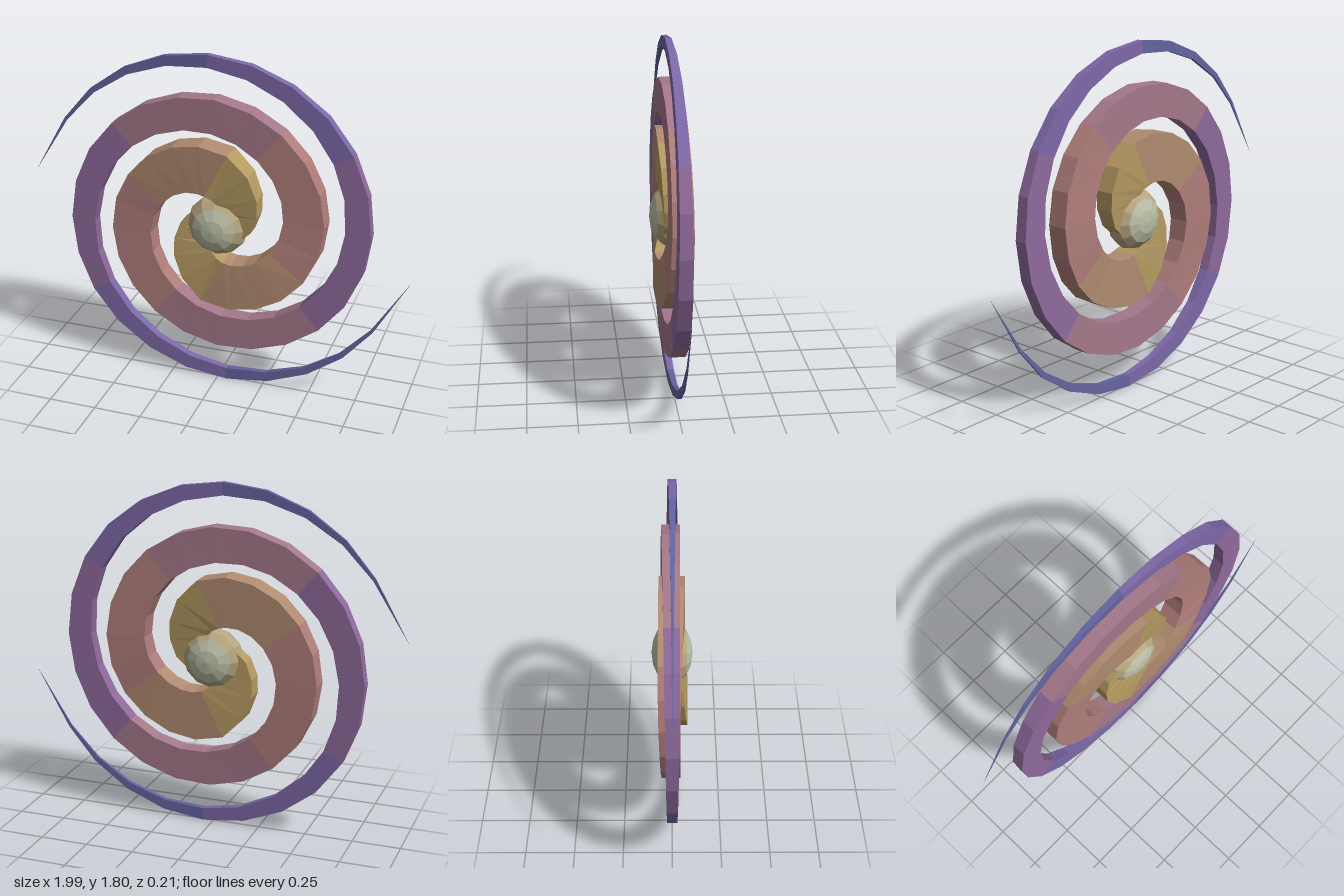
import * as THREE from 'three';

// Arm profile: [angle in degrees, centreline radius, half width]
const PROFILE = [
  [0, 0.08, 0.075], [45, 0.17, 0.1], [90, 0.295, 0.132], [180, 0.45, 0.107], [270, 0.59, 0.09],
  [360, 0.725, 0.066], [405, 0.8, 0.052], [450, 0.862, 0.034], [480, 0.903, 0.021], [510, 0.944, 0.008], [530, 1.01, 0.0005],
];
// Gentle wave of each arm out of the disc plane: [angle, z]
const WAVE_A = [[0, 0], [90, 0], [180, -0.015], [270, 0], [360, 0.002], [530, 0]];
const WAVE_B = [[0, 0], [90, 0.015], [140, 0.01], [180, -0.01], [270, -0.006], [360, 0], [530, 0]];
const COLORS = [0xb59a62, 0xb08b70, 0xb07e7c, 0xa4788a, 0x8f6a9c, 0x7d68a8, 0x6464a0];
const SEGMENTS = 32;

function sample(table, a, col) {
  let i = 0;
  while (i < table.length - 2 && a > table[i + 1][0]) i++;
  const [p, q] = [table[i], table[i + 1]];
  return THREE.MathUtils.lerp(p[col], q[col], (a - p[0]) / (q[0] - p[0]));
}

function centre(a, wave) {
  const r = sample(PROFILE, a, 1), t = THREE.MathUtils.degToRad(a);
  return new THREE.Vector3(r * Math.cos(t), r * Math.sin(t), sample(wave, a, 1));
}

// Rectangular cross-section: inner front, outer front, outer back, inner back
function crossSection(a, wave) {
  const c = centre(a, wave), h = sample(PROFILE, a, 2);
  const t = centre(a + 6, wave).sub(centre(a - 6, wave));
  const n = new THREE.Vector3(t.y, -t.x, 0).normalize();
  return [[-1, 1], [1, 1], [1, -1], [-1, -1]].map(([u, v]) =>
    new THREE.Vector3(c.x + n.x * h * u, c.y + n.y * h * u, c.z + h * 0.5 * v));
}

function flatMesh(points, color, name) {
  const geometry = new THREE.BufferGeometry().setFromPoints(points);
  geometry.computeVertexNormals();
  const mesh = new THREE.Mesh(geometry, new THREE.MeshStandardMaterial({ color, flatShading: true }));
  mesh.name = name;
  return mesh;
}

function spiralArm(name, wave) {
  const arm = new THREE.Group();
  arm.name = name;
  const rings = [];
  for (let i = 0; i <= SEGMENTS; i++) {
    const u = i / SEGMENTS;
    rings.push(crossSection(576 * u - 66 * u * u, wave));
  }
  rings.push(crossSection(530, wave));

  // One mesh per colour band along the arm
  const quad = (out, a, b, c, d) => out.push(a, b, c, a, c, d);
  const total = rings.length - 1;
  COLORS.forEach((color, band) => {
    const points = [];
    const from = Math.round(band * total / COLORS.length);
    const to = Math.round((band + 1) * total / COLORS.length);
    for (let i = from; i < to; i++) {
      for (let k = 0; k < 4; k++) {
        const m = (k + 1) % 4;
        quad(points, rings[i][k], rings[i][m], rings[i + 1][m], rings[i + 1][k]);
      }
    }
    if (band === 0) quad(points, rings[0][0], rings[0][3], rings[0][2], rings[0][1]);
    arm.add(flatMesh(points, color, `armBand${band + 1}`));
  });
  return arm;
}

// Flattened faceted bulge with paler poles facing front and back
function galaxyCore() {
  const core = new THREE.Group();
  core.name = 'core';
  const zones = [
    ['frontCap', 0, 2, 0xbcbfa6], ['middleBelt', 2, 4, 0xb5a680], ['backCap', 6, 2, 0xbcbfa6],
  ];
  for (const [name, start, rows, color] of zones) {
    const geometry = new THREE.SphereGeometry(0.16, 12, rows, 0, Math.PI * 2, start * Math.PI / 8, rows * Math.PI / 8);
    geometry.rotateX(Math.PI / 2).scale(1, 1, 0.65);
    const mesh = new THREE.Mesh(geometry, new THREE.MeshStandardMaterial({ color, flatShading: true }));
    mesh.name = name;
    core.add(mesh);
  }
  return core;
}

export function createModel() {
  const disc = new THREE.Group();
  disc.name = 'spiralDisc';
  const second = spiralArm('secondArm', WAVE_B);
  second.rotation.z = Math.PI;
  disc.add(galaxyCore(), spiralArm('firstArm', WAVE_A), second);
  disc.position.y = 0.9;

  const model = new THREE.Group();
  model.name = 'spiralGalaxy';
  model.add(disc);
  return model;
}
